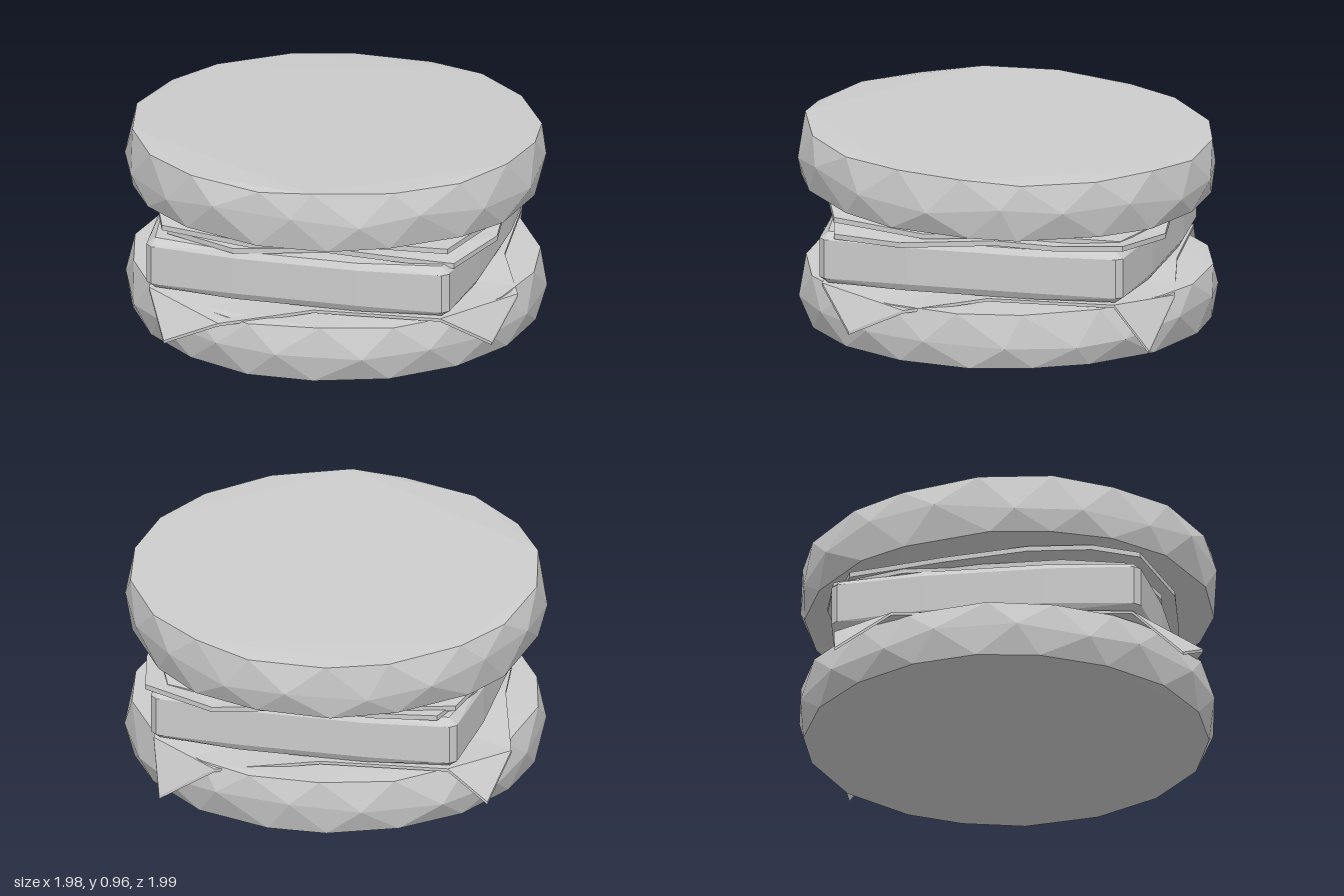
import * as THREE from 'three';
import { ConvexGeometry } from 'three/addons/geometries/ConvexGeometry.js';

const material = new THREE.MeshStandardMaterial({ color: 0xcccccc, flatShading: true, side: THREE.DoubleSide });

function named(geometry, name) {
  const mesh = new THREE.Mesh(geometry, material);
  mesh.name = name;
  return mesh;
}

function seeded(seed) {
  return () => {
    seed = (seed * 16807) % 2147483647;
    return seed / 2147483647;
  };
}

// Irregular faceted disc: the hull of slightly jittered rings [radius, y, sides, wobble in y]
function bunGeometry(rings, seed) {
  const rnd = seeded(seed);
  const points = [];
  rings.forEach(([r, y, sides, wobble], k) => {
    for (let i = 0; i < sides; i++) {
      const a = ((i + 0.5 * k + (rnd() - 0.5) * 0.3) / sides) * Math.PI * 2;
      const rr = r + (rnd() - 0.5) * 0.012;
      points.push(new THREE.Vector3(rr * Math.cos(a), y + (rnd() - 0.5) * wobble, rr * Math.sin(a)));
    }
  });
  return new ConvexGeometry(points);
}

// Square block with gently bulging sides and bevelled edges
function pattyGeometry() {
  const points = [];
  for (const sx of [-1, 1]) for (const sz of [-1, 1]) {
    for (const [x, y, z] of [
      [0.74, 0.33, 0.71], [0.74, 0.52, 0.71], [0.71, 0.33, 0.74], [0.71, 0.52, 0.74],
      [0.78, 0.34, 0.3], [0.78, 0.52, 0.3], [0.3, 0.34, 0.78], [0.3, 0.52, 0.78],
      [0.76, 0.305, 0.3], [0.76, 0.55, 0.3], [0.3, 0.305, 0.76], [0.3, 0.55, 0.76],
      [0.7, 0.3, 0.7], [0.7, 0.553, 0.7],
    ]) points.push(new THREE.Vector3(sx * x, y, sz * z));
  }
  return new ConvexGeometry(points);
}

// Thin square slice: one corner [hinge, tip, edge, hinge] repeated by quarter turns.
// Tips are flaps folded along the line between their neighbours; shifts move each
// corner's tip and edge a little so the four differ.
function sliceGeometry(corner, centreY, thickness, shifts) {
  const rim = [];
  for (const [q, [dx, dy, dz]] of shifts.entries()) {
    corner.forEach(([x, y, z], i) => {
      for (let n = 0; n < q; n++) [x, z] = [z, -x];
      rim.push(i === 1 ? [x + dx, y + dy, z + dz] : i === 2 ? [x + dx, y, z + dz] : [x, y, z]);
    });
  }
  const pos = [];
  const lower = ([x, y, z]) => [x, y - thickness, z];
  const face = (a, b, c) => pos.push(...a, ...b, ...c);
  const both = (a, b, c) => {
    face(a, b, c);
    face(lower(a), lower(c), lower(b));
  };
  const centre = [0, centreY, 0];
  const hinges = rim.filter((p, i) => i % 4 !== 1);
  hinges.forEach((p, i) => both(centre, p, hinges[(i + 1) % hinges.length]));
  for (let i = 0; i < rim.length; i += 4) both(rim[i], rim[i + 1], rim[i + 2]);
  rim.forEach((p, i) => {
    const n = rim[(i + 1) % rim.length];
    face(p, lower(p), n);
    face(n, lower(p), lower(n));
  });
  const geometry = new THREE.BufferGeometry();
  geometry.setAttribute('position', new THREE.Float32BufferAttribute(pos, 3));
  geometry.computeVertexNormals();
  return geometry;
}

export function createModel() {
  const model = new THREE.Group();
  model.name = 'sandwich';

  // Lower half of the bun
  const bottomBun = named(bunGeometry([[0.96, 0.004, 18, 0.006], [0.998, 0.13, 18, 0.07], [0.968, 0.272, 18, 0.012]], 7), 'bottomBun');
  bottomBun.position.z = -0.005;
  model.add(bottomBun);

  // Lower slice with corners hanging over the bun
  model.add(named(sliceGeometry(
    [[-0.73, 0.295, 0.7], [-0.6, 0.125, 0.925], [-0.32, 0.265, 0.98], [0.1, 0.305, 0.8]],
    0.305, 0.015, [[0, 0, 0], [-0.02, 0, -0.05], [0.07, -0.06, 0.07], [0.04, 0, -0.1]]), 'lowerSlice'));

  model.add(named(pattyGeometry(), 'patty'));

  // Slice resting on the patty, pushed off to one corner
  const middle = named(sliceGeometry(
    [[-0.77, 0.59, 0.4], [-0.7, 0.575, 0.7], [-0.35, 0.57, 0.82], [0.1, 0.595, 0.76]],
    0.59, 0.025, [[0, 0.01, 0], [0, -0.02, 0], [0.01, 0.02, -0.01], [0, 0, 0]]), 'middleSlice');
  middle.position.set(0.05, 0, -0.04);
  model.add(middle);

  // Upper half of the bun and the slice beneath it lean back slightly
  const upper = new THREE.Group();
  upper.name = 'upperHalf';
  upper.rotation.x = -0.036;
  upper.position.z = 0.03;
  upper.add(named(bunGeometry([[0.968, 0.646, 18, 0.012], [0.998, 0.78, 18, 0.08], [0.97, 0.922, 18, 0.02]], 23), 'topBun'));
  upper.add(named(sliceGeometry(
    [[-0.74, 0.63, 0.5], [-0.66, 0.605, 0.72], [-0.2, 0.6, 0.82], [0.2, 0.635, 0.78]],
    0.64, 0.025, [[0, 0, 0], [0, 0, 0], [0, 0.01, 0], [0, 0.01, 0]]), 'upperSlice'));
  model.add(upper);

  return model;
}
